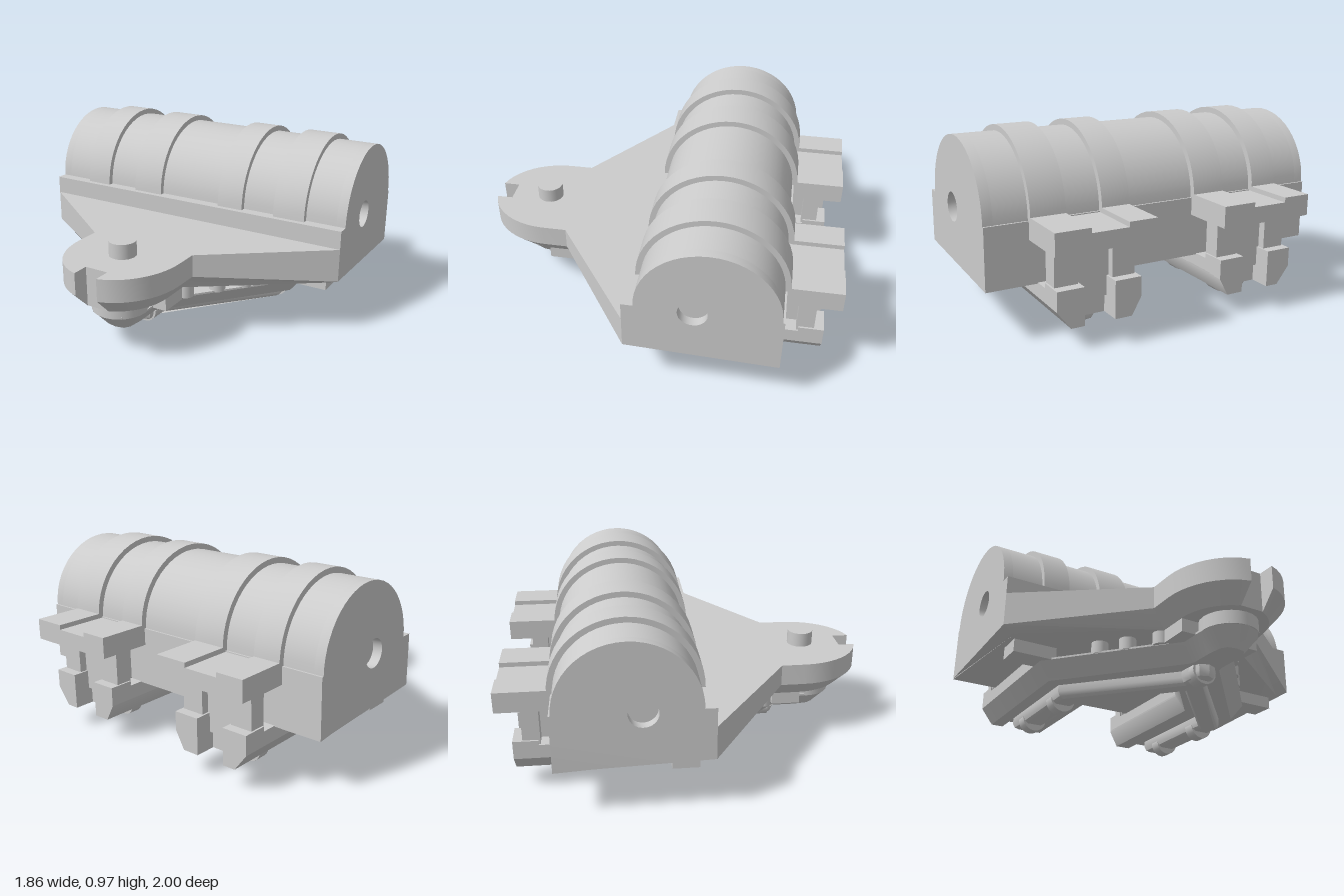
import * as THREE from 'three';
import { toCreasedNormals, mergeVertices } from 'three/addons/utils/BufferGeometryUtils.js';

const material = new THREE.MeshStandardMaterial({ color: 0xcccccc, side: THREE.DoubleSide });

function add(parent, name, geometry) {
  const mesh = new THREE.Mesh(geometry, material);
  mesh.name = name;
  parent.add(mesh);
}

function box(parent, name, x0, x1, y0, y1, z0, z1) {
  const g = new THREE.BoxGeometry(x1 - x0, y1 - y0, z1 - z0);
  g.translate((x0 + x1) / 2, (y0 + y1) / 2, (z0 + z1) / 2);
  add(parent, name, g);
}

// Solid through loops of [x, z, y], listed bottom to top
function loft(loops) {
  const pos = [];
  const put = p => pos.push(p[0], p[2], p[1]);
  const n = loops[0].length;
  for (let k = 0; k + 1 < loops.length; k++) {
    const lo = loops[k], hi = loops[k + 1];
    for (let i = 0; i < n; i++) {
      const j = (i + 1) % n;
      [lo[i], hi[j], lo[j], lo[i], hi[i], hi[j]].forEach(put);
    }
  }
  const top = loops[loops.length - 1];
  const contour = top.map(p => new THREE.Vector2(p[0], p[1]));
  for (const [a, b, c] of THREE.ShapeUtils.triangulateShape(contour, [])) {
    [loops[0][a], loops[0][b], loops[0][c], top[a], top[c], top[b]].forEach(put);
  }
  const g = new THREE.BufferGeometry();
  g.setAttribute('position', new THREE.Float32BufferAttribute(pos, 3));
  return toCreasedNormals(mergeVertices(g), 0.6);
}

// Half of a loop on the +x side, front to back, closed by its mirror image;
// points without their own height take y
function mirrorLoop(half, y) {
  const pts = half.map(([x, z, h = y]) => [x, z, h]);
  return [...pts.filter(p => p[0] > 0).reverse(), ...pts.map(([x, z, h]) => [-x, z, h])];
}

// Side profile drawn in (z, y), extruded along x
function extrudeX(shape, x0, x1) {
  const g = new THREE.ExtrudeGeometry(shape, { depth: x1 - x0, bevelEnabled: false, curveSegments: 13 });
  g.rotateY(-Math.PI / 2);
  g.translate(x1, 0, 0);
  return toCreasedNormals(g, 0.5);
}

function strapShape() {
  const s = new THREE.Shape();
  s.absarc(-0.35, 0.58, 0.39, 0, Math.PI, false);
  s.closePath();
  return s;
}

// Half-round drum on its plinth, with an optional pivot hole
function drumShape(withHole) {
  const s = new THREE.Shape();
  s.moveTo(-0.72, 0.48);
  s.lineTo(0.07, 0.48);
  s.lineTo(0.07, 0.58);
  s.lineTo(0.01, 0.58);
  s.absarc(-0.35, 0.58, 0.36, 0, Math.PI, false);
  s.lineTo(-0.72, 0.58);
  s.closePath();
  if (withHole) s.holes.push(new THREE.Path().absarc(-0.28, 0.57, 0.075, 0, Math.PI * 2, true));
  return s;
}

// V-shaped rail outline of half-width w
function railHalf(w) {
  return [
    [0, 0.48 + w], [w * 0.7, 0.48 + w * 0.7], [w, 0.46], [w, 0.4], [0.46 + w, -0.11], [0.46 + w, -0.68 - w],
    [0.46 - w, -0.68 - w], [0.46 - w, -0.14], [0, 0.38 - w],
  ];
}

export function createModel() {
  const model = new THREE.Group();

  // Deck plate: wide rear, tapering to a rounded nose with a slot, chamfered below
  const outline = [[0.065, 0.91]];
  for (let i = 0; i <= 10; i++) {
    const a = THREE.MathUtils.lerp(Math.acos(0.065 / 0.31), 0, i / 10);
    outline.push([0.31 * Math.cos(a), 0.65 + 0.357 * Math.sin(a)]);
  }
  outline.push([0.31, 0.52], [0.93, 0.07], [0.93, -0.72]);
  const chamfer = outline.map(([x, z], i) => {
    if (i === 0 || z < 0) return [x, z];
    if (x > 0.9) return [0.86, 0.05];
    return [Math.max(0.065, x * 0.75), z > 0.6 ? 0.6 + (z - 0.6) * 0.78 : z - 0.03];
  });
  const edge = outline.map(([x, z]) => [x, z, z < 0 ? 0.275 : x > 0.9 ? 0.3 : 0.36]);
  add(model, 'deckPlate', loft([mirrorLoop(chamfer, 0.27), mirrorLoop(edge), mirrorLoop(outline, 0.48)]));

  // Drum with a shallow pivot hole in each end
  add(model, 'drum', extrudeX(drumShape(false), -0.88, 0.88));
  for (const x of [-0.93, 0.88]) add(model, 'drumEnd', extrudeX(drumShape(true), x, x + 0.05));

  // Knob on the nose
  const knob = new THREE.CylinderGeometry(0.072, 0.072, 0.1, 24);
  knob.translate(0, 0.51, 0.69);
  add(model, 'noseKnob', knob);

  // Two clamps: paired straps, rear ledge and hooked leg
  for (const cx of [-0.45, 0.45]) {
    const clamp = new THREE.Group();
    clamp.name = 'clamp';
    clamp.position.x = cx;
    for (const [x0, x1] of [[-0.26, -0.11], [0.08, 0.26]]) {
      add(clamp, 'strap', extrudeX(strapShape(), x0, x1));
      box(clamp, 'ledgeRib', x0, x1, 0.49, 0.6, -1, -0.7);
    }
    box(clamp, 'ledge', -0.11, 0.08, 0.49, 0.575, -1, -0.7);
    box(clamp, 'legWeb', -0.14, 0.14, 0.27, 0.49, -0.8, -0.7);
    box(clamp, 'legWall', -0.21, 0.21, 0.2, 0.49, -0.84, -0.79);
    for (const s of [-1, 1]) {
      const x = s * 0.15;
      box(clamp, 'legCheek', x - 0.06, x + 0.06, 0.27, 0.49, -0.88, -0.82);
      box(clamp, 'legHeel', x - 0.07, x + 0.07, 0.2, 0.3, -0.93, -0.8);
    }
    box(clamp, 'armTop', -0.22, 0.22, 0.2, 0.275, -0.8, -0.1);
    model.add(clamp);
  }

  // Forked underframe with chamfered lower edges and notched rear ends
  const fork = [
    [0, 0.87], [0.09, 0.84], [0.14, 0.77], [0.15, 0.68], [0.15, 0.55], [0.67, -0.05], [0.67, -0.93],
    [0.53, -0.93], [0.53, -0.82], [0.37, -0.82], [0.37, -0.93], [0.23, -0.93], [0.23, -0.12], [0, 0.18],
  ];
  const forkLow = [
    [0, 0.78], [0.05, 0.77], [0.07, 0.74], [0.08, 0.66], [0.08, 0.52], [0.6, -0.08], [0.6, -0.93],
    [0.53, -0.93], [0.53, -0.82], [0.37, -0.82], [0.37, -0.93], [0.28, -0.93], [0.28, -0.1], [0, 0.25],
  ];
  add(model, 'underframe', loft([mirrorLoop(forkLow, 0.11), mirrorLoop(fork, 0.2), mirrorLoop(fork, 0.21)]));
  const hub = new THREE.CylinderGeometry(0.15, 0.15, 0.08, 24);
  hub.translate(0, 0.24, 0.72);
  add(model, 'noseHub', hub);

  // Spacers between underframe and deck
  for (const s of [-1, 1]) {
    const spacers = new THREE.Group();
    spacers.name = 'spacers';
    spacers.scale.x = s;
    box(spacers, 'sidePad', 0.6, 0.84, 0.2, 0.275, -0.14, 0);
    box(spacers, 'nosePad', 0.06, 0.23, 0.2, 0.275, 0.49, 0.65);
    for (const [x, z] of [[0.22, 0.44], [0.33, 0.29], [0.43, 0.17]]) {
      const post = new THREE.CylinderGeometry(0.045, 0.045, 0.075, 16);
      post.translate(x, 0.24, z);
      add(spacers, 'post', post);
    }
    model.add(spacers);
  }

  // Flat V-shaped rail with rounded lower edges and round foot collars
  add(model, 'footRail', loft([[0.04, 0.037], [0.06, 0.05], [0.07, 0.075], [0.07, 0.112]]
    .map(([w, y]) => mirrorLoop(railHalf(w), y))));
  for (const [x, y, z] of [[0.46, 0.07, -0.23], [0.46, 0.07, -0.62], [-0.46, 0.07, -0.23], [-0.46, 0.07, -0.62], [0, 0.09, 0.47]]) {
    const collar = new THREE.CylinderGeometry(0.07, 0.07, 0.07, 20);
    collar.rotateX(Math.PI / 2);
    collar.translate(x, y, z);
    add(model, 'footCollar', collar);
  }
  return model;
}
